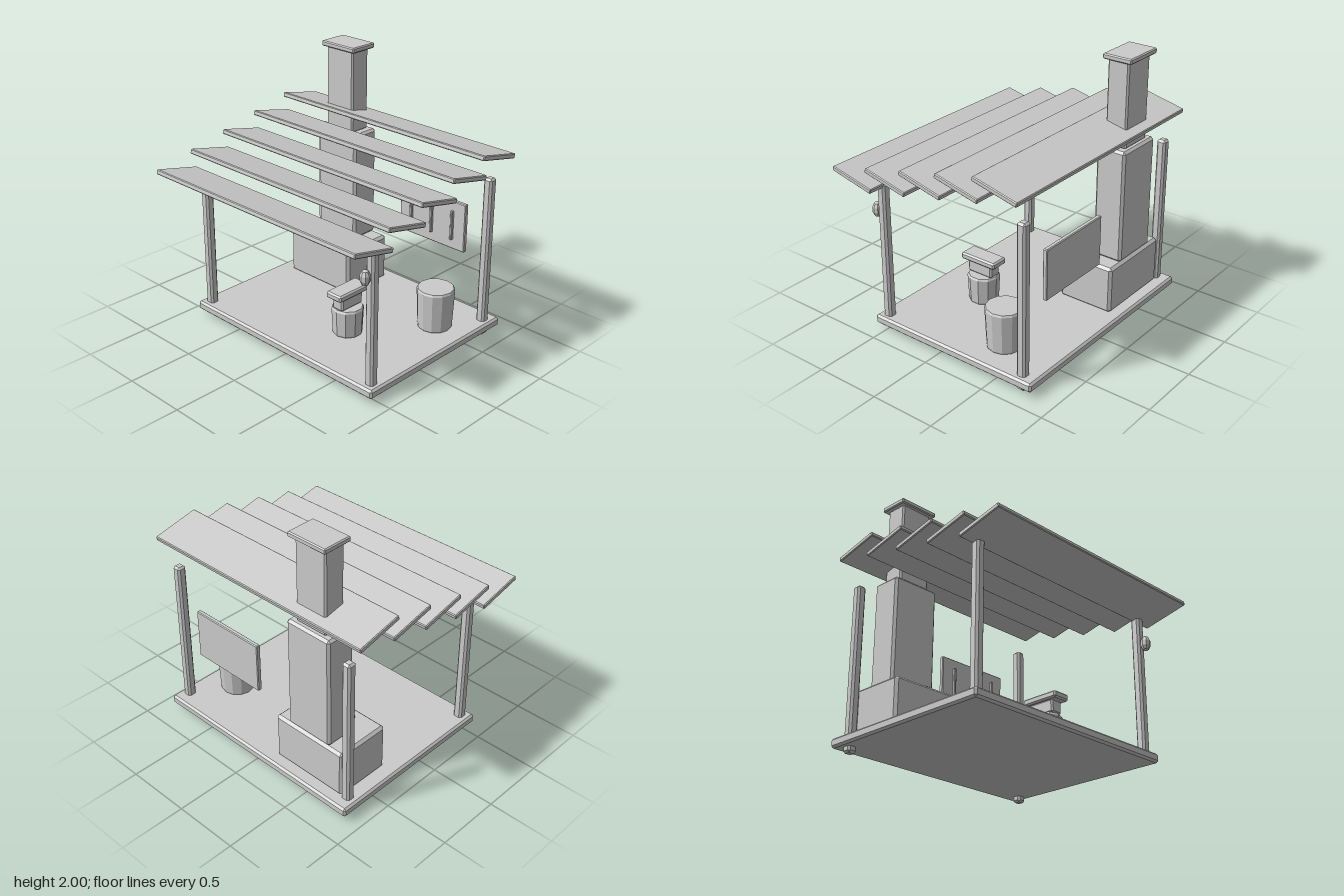
import * as THREE from 'three';
import { ConvexGeometry } from 'three/addons/geometries/ConvexGeometry.js';

const material = new THREE.MeshStandardMaterial({ color: 0xcccccc, flatShading: true });

// Box with every edge cut by a flat bevel of width c
function bevelBox(w, h, d, c) {
  const pts = [];
  for (const sx of [-1, 1]) for (const sy of [-1, 1]) for (const sz of [-1, 1]) {
    for (let axis = 0; axis < 3; axis++) {
      const half = [w, h, d].map((s, i) => s / 2 - (i === axis ? 0 : c));
      pts.push(new THREE.Vector3(sx * half[0], sy * half[1], sz * half[2]));
    }
  }
  return new ConvexGeometry(pts);
}

export function createModel() {
  const model = new THREE.Group();

  const add = (name, geometry, x, y, z) => {
    const mesh = new THREE.Mesh(geometry, material);
    mesh.name = name;
    mesh.position.set(x, y, z);
    model.add(mesh);
    return mesh;
  };

  // Bevelled box given by its limits on each axis
  const block = (name, [x0, x1], [y0, y1], [z0, z1], c = 0.012) =>
    add(name, bevelBox(x1 - x0, y1 - y0, z1 - z0, c), (x0 + x1) / 2, (y0 + y1) / 2, (z0 + z1) / 2);

  // Faceted turned shape from [radius, height] pairs
  const turned = (name, profile, sides, x, y, z) =>
    add(name, new THREE.LatheGeometry(profile.map(([r, h]) => new THREE.Vector2(r, h)), sides), x, y, z);

  block('floor', [-0.9, 0.895], [0.05, 0.12], [-0.83, 0.573], 0.015);

  // Posts: the rear pair passes through the floor
  for (const side of [-1, 1]) {
    const x = [side * 0.822 - 0.035, side * 0.822 + 0.035];
    block('frontPost', x, [0.08, 1.17], [0.46, 0.53], 0.015);
    block('rearPost', x, [0.005, 1.255], [-0.75, -0.68], 0.015);
  }

  // Louvred roof: each plank tilts against the rise of the roof
  for (let i = 0; i < 5; i++) {
    const plank = add('roofPlank', bevelBox(1.948, 0.036, 0.364, 0.006), 0, 1.197 + i * 0.071, 0.648 - i * 0.312);
    plank.rotation.x = -0.22;
  }

  // Hearth and stepped chimney
  block('hearth', [-0.785, -0.16], [0.11, 0.475], [-0.74, -0.305], 0.02);
  turned('emberBed', [[0, 0], [0.17, 0], [0.17, 0.03], [0.1, 0.045], [0, 0.045]], 10, -0.47, 0.46, -0.515);
  block('chimneyBase', [-0.665, -0.28], [0.475, 1.335], [-0.735, -0.5], 0.018);
  block('chimneyFlue', [-0.605, -0.34], [1.33, 1.965], [-0.7, -0.53]);
  block('chimneyCap', [-0.635, -0.31], [1.96, 2], [-0.735, -0.505], 0.008);

  // Tool board with raised bars
  block('toolBoard', [0, 0.62], [0.595, 0.977], [-0.75, -0.715], 0.006);
  for (const x of [0.115, 0.31, 0.505]) {
    block('toolBar', [x - 0.011, x + 0.011], [0.67, 0.903], [-0.72, -0.695], 0.005);
  }

  // Anvil on its stump
  turned('anvilStump', [[0, 0], [0.104, 0], [0.11, 0.012], [0.119, 0.2], [0.11, 0.215], [0, 0.215]], 10, 0.232, 0.12, 0.107);
  block('anvilWaist', [0.18, 0.28], [0.335, 0.435], [0, 0.215]);
  block('anvilTop', [0.16, 0.305], [0.43, 0.482], [-0.045, 0.26]);

  // Water barrel
  turned('barrel', [[0, 0], [0.122, 0], [0.128, 0.01], [0.141, 0.3], [0.133, 0.315], [0, 0.315]], 12, 0.625, 0.12, -0.403);

  // Lantern on the front left post
  const lantern = add('lantern', new THREE.SphereGeometry(1, 8, 5), 0.82, 0.943, 0.565);
  lantern.scale.set(0.038, 0.06, 0.038);

  return model;
}
